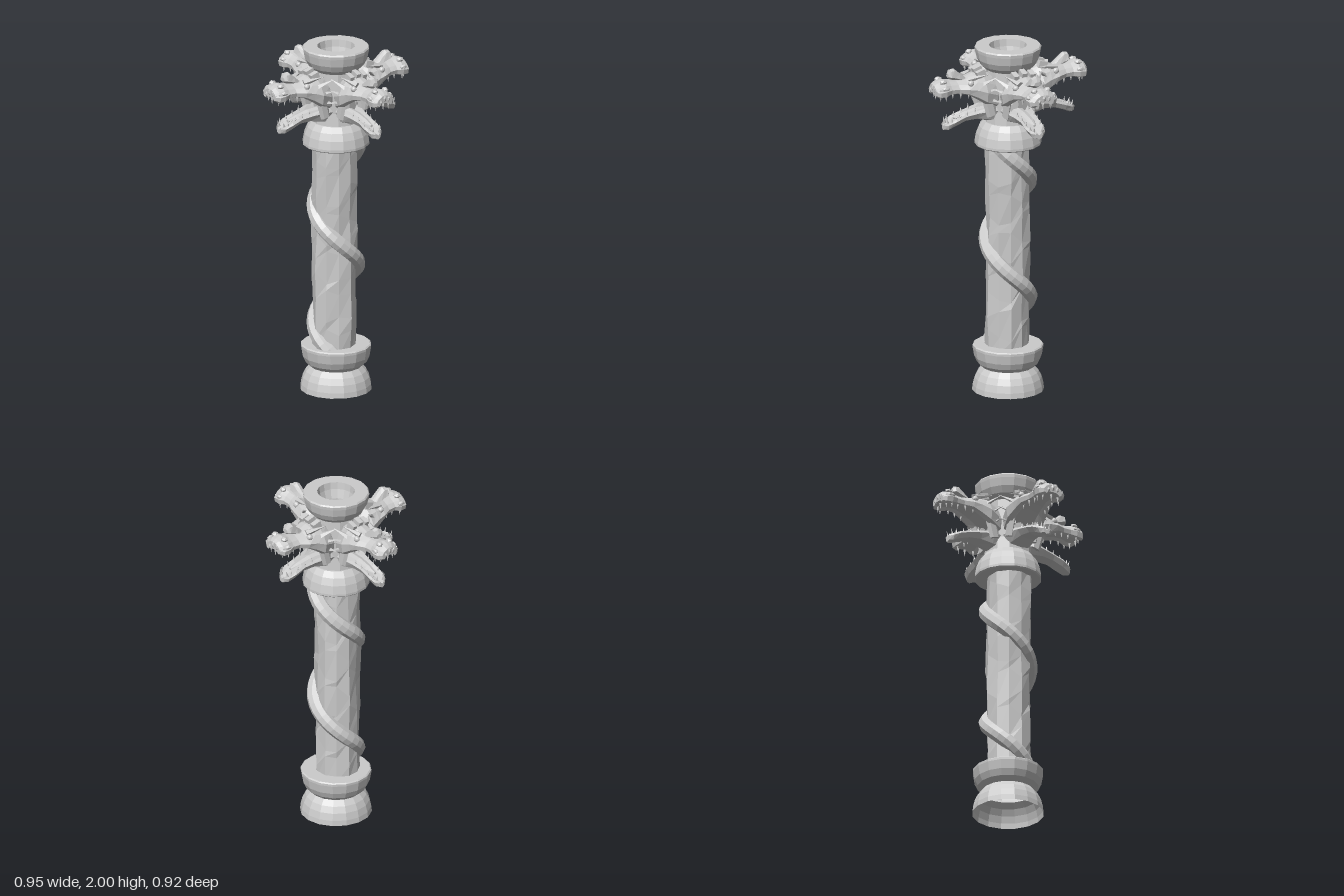
import * as THREE from 'three';

const mat = new THREE.MeshStandardMaterial({ color: 0xcccccc, flatShading: true, side: THREE.DoubleSide });

function add(parent, name, geometry, pos = [0, 0, 0], rot = [0, 0, 0], scale = [1, 1, 1]) {
  const g = geometry.index ? geometry.toNonIndexed() : geometry;
  g.computeVertexNormals();
  const m = new THREE.Mesh(g, mat);
  m.name = name;
  m.position.set(...pos);
  m.rotation.set(...rot);
  m.scale.set(...scale);
  parent.add(m);
  return m;
}

const lathe = (pts, n = 16) =>
  new THREE.LatheGeometry(pts.map(([r, y]) => new THREE.Vector2(r, y)), n);

// Skin a half outline (u sideways, v from bottom to top) over sections [z, halfWidth, bottom, top]
function loft(half, sections) {
  const left = half.map(([u, v]) => [-u, v]);
  const right = half.slice(1, -1).reverse();
  const ring = [...left, ...right];
  const n = ring.length, pos = [], idx = [];
  for (const [z, w, b, t] of sections)
    for (const [u, v] of ring) pos.push(u * w, b + v * (t - b), z);
  for (let i = 0; i < sections.length - 1; i++)
    for (let j = 0; j < n; j++) {
      const a = i * n + j, b = i * n + (j + 1) % n;
      idx.push(a, b, a + n, b, b + n, a + n);
    }
  const last = (sections.length - 1) * n;
  for (let j = 1; j < n - 1; j++) {
    idx.push(last, last + j, last + j + 1);
    idx.push(0, j + 1, j);
  }
  const g = new THREE.BufferGeometry();
  g.setAttribute('position', new THREE.Float32BufferAttribute(pos, 3));
  g.setIndex(idx);
  return g;
}

// Rough hewn shaft: a cylinder whose vertices are pushed about by a smooth rule
function shaftGeometry() {
  const g = new THREE.CylinderGeometry(0.124, 0.124, 1.24, 11, 11, true);
  const p = g.attributes.position;
  for (let i = 0; i < p.count; i++) {
    const x = p.getX(i), y = p.getY(i), z = p.getZ(i);
    const k = 1 + 0.07 * Math.sin(31 * x + 23 * y) * Math.cos(27 * z - 17 * y) + 0.04 * Math.sin(57 * y + 40 * z);
    const dy = Math.abs(y) < 0.6 ? 0.04 * Math.sin(47 * x + 61 * z + 29 * y) : 0;
    p.setXYZ(i, x * k, y + dy, z * k + 0.008);
  }
  return g;
}

// Spiral cord winding down the shaft
class Spiral extends THREE.Curve {
  getPoint(t, out = new THREE.Vector3()) {
    const y = 0.2 + t * 1.3, a = 2 * Math.PI * (1.0 - y) / 0.68;
    return out.set(0.121 * Math.sin(a), y, 0.121 * Math.cos(a));
  }
}

// Beast head facing +z
function createHead() {
  const head = new THREE.Group();
  head.name = 'beastHead';

  const skull = [[0, 1], [0.35, 0.95], [0.75, 0.72], [1, 0.42], [0.92, 0.1], [0.7, 0], [0.5, 0.2], [0, 0.28]];
  add(head, 'upperJaw', loft(skull, [
    [0.03, 0.05, 1.66, 1.78], [0.1, 0.1, 1.67, 1.85], [0.17, 0.125, 1.70, 1.875],
    [0.22, 0.113, 1.735, 1.87], [0.27, 0.104, 1.765, 1.85], [0.32, 0.078, 1.775, 1.845],
    [0.365, 0.077, 1.775, 1.85], [0.4, 0.09, 1.765, 1.86], [0.435, 0.086, 1.765, 1.85],
    [0.452, 0.06, 1.775, 1.835],
  ]));

  const trough = [[0, 0.6], [0.6, 0.7], [0.85, 1], [1, 0.75], [0.7, 0.2], [0, 0]];
  add(head, 'lowerJaw', loft(trough, [
    [0.05, 0.09, 1.56, 1.68], [0.13, 0.085, 1.58, 1.675], [0.2, 0.068, 1.60, 1.66],
    [0.27, 0.056, 1.597, 1.645], [0.33, 0.058, 1.575, 1.625], [0.37, 0.046, 1.557, 1.607],
    [0.39, 0.022, 1.56, 1.6],
  ]));
  const tongue = [[0, 1], [0.7, 0.8], [1, 0.4], [0, 0]];
  add(head, 'tongue', loft(tongue, [
    [0.1, 0.04, 1.63, 1.67], [0.2, 0.035, 1.63, 1.665], [0.27, 0.028, 1.62, 1.65], [0.33, 0.01, 1.615, 1.63],
  ]));

  // Nose horn rising and leaning forward
  add(head, 'noseHorn', loft([[0, 1], [0.7, 0.85], [1, 0.3], [0, 0]], [
    [0.26, 0.028, 1.83, 1.852], [0.3, 0.034, 1.835, 1.885], [0.33, 0.034, 1.84, 1.912],
    [0.352, 0.036, 1.85, 1.908], [0.364, 0.02, 1.86, 1.885],
  ]));

  // Knobbly lip around the snout
  for (let i = 0; i < 9; i++) {
    const a = (i / 8 - 0.5) * Math.PI;
    add(head, 'lipKnob', new THREE.IcosahedronGeometry(0.015, 0),
      [0.076 * Math.sin(a), 1.805 + 0.012 * Math.cos(4 * a), 0.405 + 0.04 * Math.cos(a)], [a, i, 0], [1, 1.7, 1]);
    if (i % 2 === 0)
      add(head, 'frontTooth', new THREE.ConeGeometry(0.009, 0.04, 4),
        [0.07 * Math.sin(a), 1.762, 0.4 + 0.035 * Math.cos(a)], [Math.PI, 0, 0]);
  }

  for (const s of [-1, 1]) {
    add(head, 'eye', new THREE.IcosahedronGeometry(0.018, 1), [s * 0.079, 1.83, 0.255]);
    add(head, 'brow', new THREE.ConeGeometry(0.02, 0.12, 5), [s * 0.075, 1.86, 0.205], [-1.35, 0, -s * 0.35], [1.2, 1, 0.9]);
    add(head, 'nostril', new THREE.IcosahedronGeometry(0.02, 0), [s * 0.04, 1.85, 0.405], [0, 0, 0], [1, 0.8, 1.2]);
    // Ear and swept frill spikes behind the jaw
    for (let i = 0; i < 3; i++)
      add(head, 'frillSpike', new THREE.ConeGeometry(0.022, 0.11, 4),
        [s * (0.115 - i * 0.008), 1.84 - i * 0.06, 0.155 - i * 0.012], [-0.9, 0, -s * (0.7 + i * 0.35)], [1, 1, 0.6]);
    // Cheek joining the jaws
    add(head, 'cheek', new THREE.CylinderGeometry(0.03, 0.026, 0.13, 6), [s * 0.08, 1.69, 0.145], [0.25, 0, 0], [0.6, 1, 1.2]);
    for (let i = 0; i < 4; i++) {
      const z = 0.22 + i * 0.045;
      add(head, 'upperTooth', new THREE.ConeGeometry(0.009, 0.035, 4), [s * (0.078 - i * 0.007), 1.755 + i * 0.004, z], [Math.PI, 0, 0]);
      add(head, 'lowerTooth', new THREE.ConeGeometry(0.008, 0.032, 4), [s * (0.052 - i * 0.004), 1.665 - i * 0.014, z]);
    }
    add(head, 'lowerFang', new THREE.ConeGeometry(0.009, 0.045, 4), [s * 0.026, 1.615, 0.375], [0.3, 0, 0]);
  }
  // Crest plates against the bowl
  for (const x of [-0.05, 0, 0.05])
    add(head, 'crestPlate', new THREE.BoxGeometry(0.032, 0.04, 0.05), [x, 1.88 - Math.abs(x) * 0.2, 0.185], [0.3, 0, 0]);
  return head;
}

export function createModel() {
  const model = new THREE.Group();
  model.name = 'carvedColumn';

  add(model, 'baseBell', lathe([[0.2, 0], [0.197, 0.03], [0.187, 0.07], [0.17, 0.105], [0.145, 0.135]]));
  add(model, 'baseBowl', lathe([[0.145, 0.135], [0.172, 0.16], [0.188, 0.195], [0.197, 0.245],
    [0.197, 0.258], [0.19, 0.264], [0.1, 0.264]]));
  add(model, 'shaft', shaftGeometry(), [0, 0.85, 0]);
  add(model, 'spiralCord', new THREE.TubeGeometry(new Spiral(), 48, 0.043, 8));
  add(model, 'capitalBell', lathe([[0.1, 1.428], [0.18, 1.428], [0.187, 1.434], [0.187, 1.447], [0.178, 1.495],
    [0.162, 1.535], [0.138, 1.567], [0.06, 1.567]]));

  // Core behind the heads, with the cross ribs seen through the bowl
  add(model, 'core', lathe([[0.132, 1.56], [0.125, 1.64], [0.13, 1.74], [0.125, 1.87], [0.11, 1.87], [0.07, 1.78], [0, 1.75]], 12));
  for (let i = 0; i < 2; i++)
    add(model, 'crossRib', new THREE.BoxGeometry(0.22, 0.05, 0.035), [0, 1.79, 0], [0, i * Math.PI / 2, 0]);
  add(model, 'topBowl', lathe([[0.105, 1.868], [0.128, 1.87], [0.155, 1.895], [0.174, 1.93], [0.184, 1.975],
    [0.186, 1.992], [0.18, 2], [0.105, 2], [0.1, 1.96], [0.085, 1.91], [0.08, 1.85]]));

  // Four heads; the side pair is a little longer and narrower
  for (let i = 0; i < 4; i++) {
    const head = createHead();
    head.rotation.y = i * Math.PI / 2;
    if (i % 2) head.scale.set(0.86, 1, 1.03);
    model.add(head);
  }
  return model;
}
